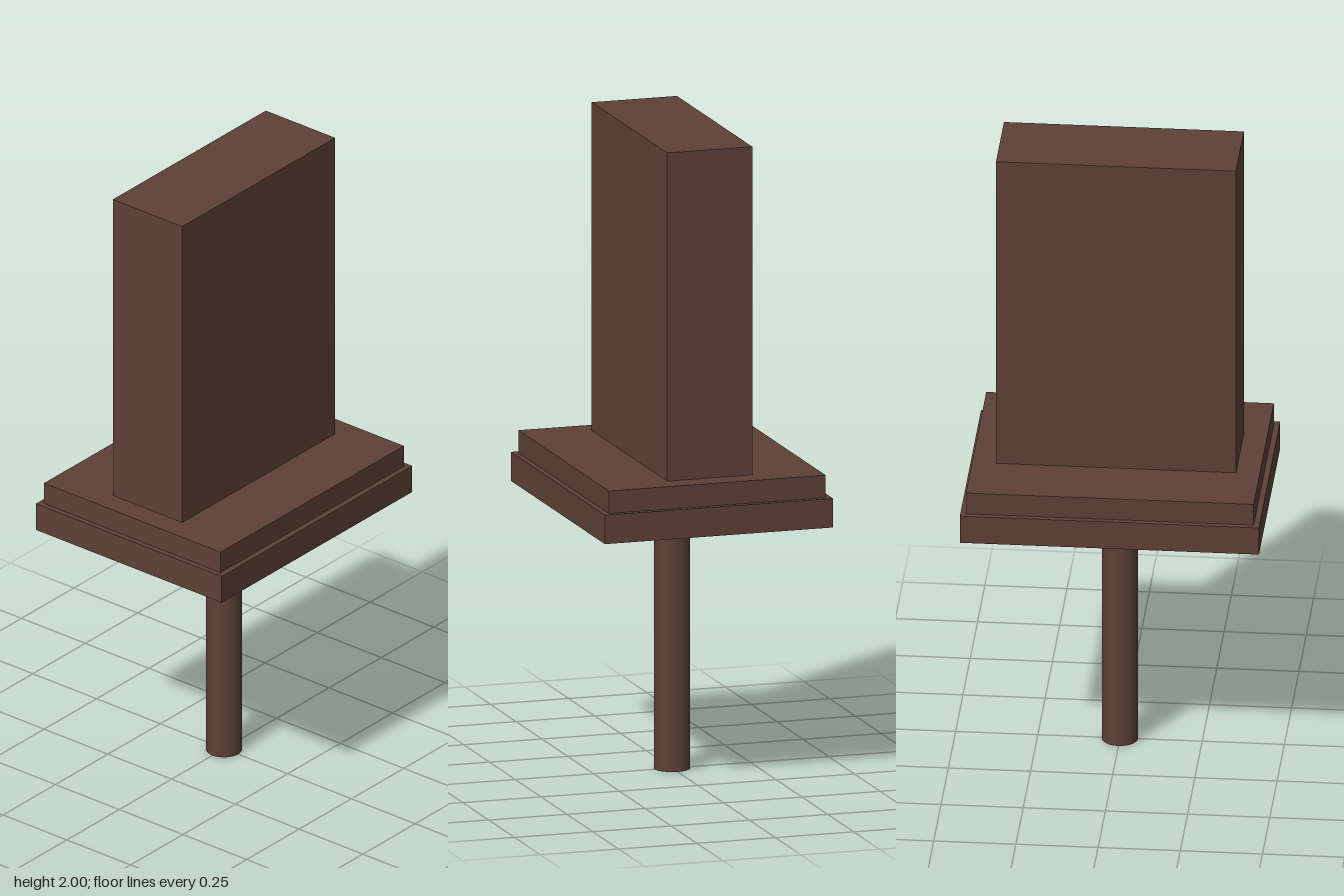
import * as THREE from 'three';

export function createModel() {
  const model = new THREE.Group();
  const brown = new THREE.MeshStandardMaterial({ color: 0x5d4037 });
  brown.name = 'dark brown';

  // Adds a part standing between two heights
  const add = (name, geometry, bottom, top) => {
    const mesh = new THREE.Mesh(geometry, brown);
    mesh.name = name;
    mesh.position.y = (bottom + top) / 2;
    model.add(mesh);
  };
  const block = (name, width, depth, bottom, top) =>
    add(name, new THREE.BoxGeometry(width, top - bottom, depth), bottom, top);

  // Round post under the base
  add('post', new THREE.CylinderGeometry(0.055, 0.055, 0.82, 32), 0, 0.82);

  // Stepped base and upright slab
  block('lowerPlate', 0.91, 0.728, 0.82, 0.91);
  block('upperPlate', 0.875, 0.692, 0.91, 0.98);
  block('uprightSlab', 0.73, 0.272, 0.98, 2);

  return model;
}
